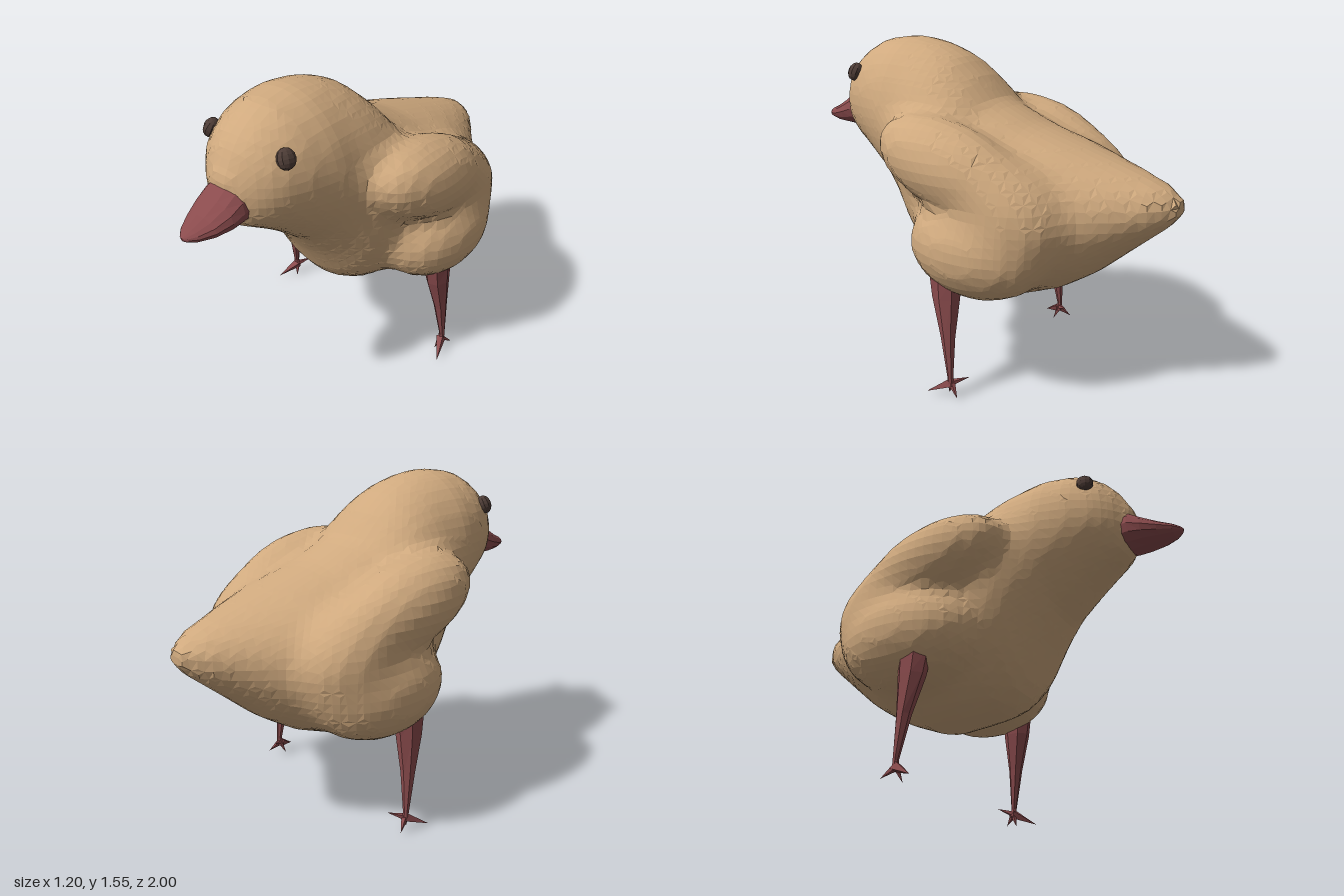
import * as THREE from 'three';

const plumage = new THREE.MeshStandardMaterial({ color: 0xcfa97e, flatShading: true });
plumage.name = 'tan plumage';
const horn = new THREE.MeshStandardMaterial({ color: 0x8a4b4d, flatShading: true });
horn.name = 'reddish beak and legs';
const dark = new THREE.MeshStandardMaterial({ color: 0x4d3c36, flatShading: true });
dark.name = 'dark eye';

function meshGeometry(pos, idx) {
  const g = new THREE.BufferGeometry();
  g.setAttribute('position', new THREE.Float32BufferAttribute(pos, 3));
  g.setIndex(idx);
  g.computeVertexNormals();
  return g;
}

// Skins a list of rings (each an array of [x, y, z]) and caps both ends.
function loft(rings) {
  const n = rings[0].length, pos = rings.flat(2), idx = [];
  const at = (i, j) => i * n + (j % n);
  for (let i = 0; i < rings.length - 1; i++)
    for (let j = 0; j < n; j++) {
      const a = at(i, j), b = at(i, j + 1), c = at(i + 1, j + 1), d = at(i + 1, j);
      idx.push(a, b, c, a, c, d);
    }
  for (const i of [0, rings.length - 1]) {
    const centre = pos.length / 3;
    for (let k = 0; k < 3; k++) pos.push(rings[i].reduce((s, p) => s + p[k], 0) / n);
    for (let j = 0; j < n; j++)
      idx.push(centre, ...(i ? [at(i, j), at(i, j + 1)] : [at(i, j + 1), at(i, j)]));
  }
  return meshGeometry(pos, idx);
}

function ring(n, fn) {
  return Array.from({ length: n }, (_, j) => {
    const a = (j / n) * Math.PI * 2;
    return fn(Math.cos(a), Math.sin(a));
  });
}

function add(group, name, geometry, material) {
  const m = new THREE.Mesh(geometry, material);
  m.name = name;
  group.add(m);
  return m;
}

// Trunk and head sections: z, top, bottom, half width
const SECTIONS = [
  [-1.005, 0.945, 0.89, 0.03], [-0.98, 0.975, 0.85, 0.075], [-0.9, 1.015, 0.785, 0.15],
  [-0.8, 1.05, 0.7, 0.22], [-0.65, 1.095, 0.57, 0.33], [-0.5, 1.14, 0.475, 0.43],
  [-0.3, 1.2, 0.395, 0.46], [-0.1, 1.29, 0.405, 0.44], [0, 1.4, 0.41, 0.42],
  [0.1, 1.485, 0.425, 0.4], [0.2, 1.53, 0.495, 0.38], [0.3, 1.555, 0.67, 0.34],
  [0.4, 1.565, 0.82, 0.32], [0.55, 1.545, 0.945, 0.272], [0.66, 1.485, 1.02, 0.22],
  [0.74, 1.395, 1.06, 0.14], [0.785, 1.29, 1.11, 0.06],
];

// Lobes swelling out of the trunk: centre, radii, pitch
const LOBES = [
  { c: [0.395, 1.055, -0.09], r: [0.185, 0.19, 0.38], pitch: 0.28 },  // wing shoulder
  { c: [0.34, 0.89, -0.37], r: [0.21, 0.2, 0.27], pitch: 0.5 },       // wing tip
  { c: [0.37, 0.71, -0.23], r: [0.23, 0.235, 0.34], pitch: 0 },       // thigh
];

function trunkDistance(x, y, z) {
  const i = Math.max(0, SECTIONS.findLastIndex((s, k) => s[0] <= z && k < SECTIONS.length - 1));
  const a = SECTIONS[i], b = SECTIONS[i + 1];
  const f = THREE.MathUtils.clamp((z - a[0]) / (b[0] - a[0]), 0, 1);
  const [, top, bottom, w] = a.map((v, k) => v + (b[k] - v) * f);
  const h = (top - bottom) / 2;
  const across = (Math.hypot(x / w, (y - top + h) / h) - 1) * Math.min(w, h);
  return Math.max(across, SECTIONS[0][0] - z, z - SECTIONS.at(-1)[0]);
}

function lobeDistance({ c, r, pitch }, x, y, z) {
  const dy = y - c[1], dz = z - c[2], cs = Math.cos(pitch), sn = Math.sin(pitch);
  const q = [Math.abs(x) - c[0], dy * cs - dz * sn, dz * cs + dy * sn].map((v, k) => v / r[k]);
  return (Math.hypot(...q) - 1) * Math.min(...r);
}

function blend(a, b, k) {
  const h = Math.max(k - Math.abs(a - b), 0) / k;
  return Math.min(a, b) - h * h * k * 0.25;
}

// Negative inside the body
function bodyField(x, y, z) {
  return LOBES.reduce((d, lobe) => blend(d, lobeDistance(lobe, x, y, z), 0.06), trunkDistance(x, y, z));
}

// Even facets over the body: one corner per grid cell that the skin passes through.
function bodyGeometry() {
  const step = 0.045, lo = [-16, 7, -25], size = [33, 31, 46];
  const strides = [1, size[0], size[0] * size[1]];
  const values = [], cells = new Map(), pos = [], idx = [];
  const visit = fn => {
    for (let k = 0; k < size[2]; k++)
      for (let j = 0; j < size[1]; j++)
        for (let i = 0; i < size[0]; i++) fn([i, j, k], i + j * strides[1] + k * strides[2]);
  };
  visit(p => values.push(bodyField(...p.map((v, a) => (v + lo[a]) * step))));
  visit((p, id) => {
    if (p.some((v, a) => v === size[a] - 1)) return;
    const sum = [0, 0, 0];
    let count = 0;
    for (let corner = 0; corner < 8; corner++)
      for (let a = 0; a < 3; a++) {
        if (corner >> a & 1) continue;
        const o = [corner & 1, corner >> 1 & 1, corner >> 2 & 1];
        const from = id + o.reduce((s, v, k) => s + v * strides[k], 0);
        const f0 = values[from], f1 = values[from + strides[a]];
        if (f0 < 0 === f1 < 0) continue;
        o[a] = f0 / (f0 - f1);
        o.forEach((v, k) => { sum[k] += v; });
        count++;
      }
    if (!count) return;
    cells.set(id, pos.length / 3);
    sum.forEach((v, k) => pos.push((p[k] + lo[k] + v / count) * step));
  });
  // join the four cells around every grid edge that crosses the skin
  visit((p, id) => {
    for (let a = 0; a < 3; a++) {
      if (p[a] === size[a] - 1 || (values[id] < 0) === (values[id + strides[a]] < 0)) continue;
      const u = strides[(a + 1) % 3], v = strides[(a + 2) % 3];
      const q = [id, id - u, id - u - v, id - v].map(c => cells.get(c));
      if (values[id] >= 0) q.reverse();
      idx.push(q[0], q[1], q[2], q[0], q[2], q[3]);
    }
  });
  return meshGeometry(pos, idx);
}

// Thin four-sided spike from one point to another
function spike(from, to, r) {
  const a = new THREE.Vector3(...from), b = new THREE.Vector3(...to), d = b.clone().sub(a);
  const g = new THREE.ConeGeometry(r, d.length(), 4);
  g.translate(0, d.length() / 2, 0);
  g.applyQuaternion(new THREE.Quaternion().setFromUnitVectors(new THREE.Vector3(0, 1, 0), d.normalize()));
  return g.translate(...from);
}

export function createModel() {
  const bird = new THREE.Group();
  bird.name = 'bird';
  add(bird, 'body', bodyGeometry(), plumage);

  // Beak sections: z, centre height, half width, half height
  const beak = [[0.7, 1.175, 0.11, 0.085], [0.77, 1.178, 0.115, 0.095], [0.83, 1.158, 0.11, 0.07],
    [0.9, 1.14, 0.088, 0.046], [0.96, 1.132, 0.055, 0.028], [0.99, 1.13, 0.025, 0.014], [1, 1.13, 0.006, 0.006]];
  add(bird, 'beak', loft(beak.map(([z, y, w, h]) => ring(14, (c, s) => [c * w, y + s * h, z]))), horn);

  // Leg sections: height, x, z, half width, half depth
  const leg = [[0.06, 0.5, -0.165, 0.02, 0.016], [0.1, 0.505, -0.165, 0.014, 0.013],
    [0.3, 0.492, -0.145, 0.033, 0.035], [0.48, 0.475, -0.125, 0.055, 0.068], [0.58, 0.47, -0.12, 0.06, 0.08]];
  // Toe tips and thickness
  const toes = [[0.548, 0.02, -0.06, 0.026], [0.482, 0.008, -0.14, 0.018],
    [0.53, 0.025, -0.22, 0.018], [0.45, 0.1, -0.23, 0.016]];

  for (const [side, label] of [[1, 'left'], [-1, 'right']]) {
    const eye = add(bird, label + 'Eye', new THREE.SphereGeometry(0.045, 10, 8), dark);
    eye.position.set(side * 0.207, 1.392, 0.622);
    eye.scale.set(0.75, 1, 0.9);
    eye.rotation.set(0, -side * 0.45, side * 0.45);

    add(bird, label + 'Leg', loft(leg.map(([y, x, z, w, d]) =>
      ring(7, (c, s) => [side * (x + side * c * w), y, z - s * d]))), horn);

    const foot = new THREE.Group();
    foot.name = label + 'Foot';
    for (const [x, y, z, r] of toes)
      add(foot, 'toe', spike([side * 0.5, 0.075, -0.165], [side * x, y, z], r), horn);
    bird.add(foot);
  }
  return bird;
}
